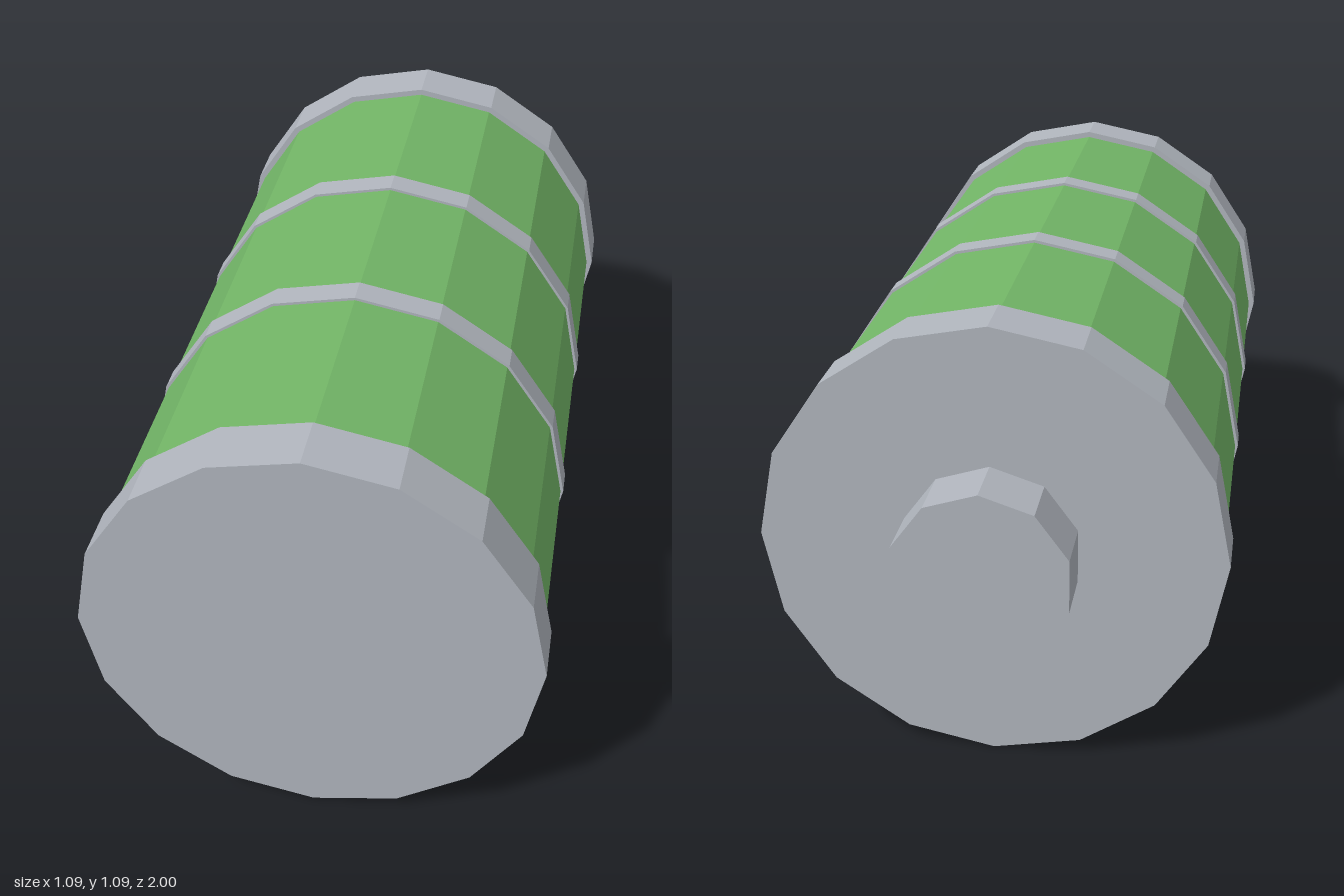
import * as THREE from 'three';

export function createModel() {
  const model = new THREE.Group();
  const metal = new THREE.MeshStandardMaterial({ color: 0xb0b5bd, flatShading: true });
  metal.name = 'grey metal';
  const green = new THREE.MeshStandardMaterial({ color: 0x72b566, flatShading: true });
  green.name = 'green casing';

  const axisY = 0.543;

  // Faceted disc lying along z, between two z positions
  function drum(name, radius, z0, z1, sides, material) {
    const geometry = new THREE.CylinderGeometry(radius, radius, z1 - z0, sides);
    geometry.rotateX(Math.PI / 2);
    const mesh = new THREE.Mesh(geometry, material);
    mesh.name = name;
    mesh.position.set(0, axisY, (z0 + z1) / 2);
    model.add(mesh);
  }

  // Casing
  drum('casing', 0.527, -0.73, 0.87, 16, green);

  // End caps
  drum('frontCap', 0.543, 0.863, 1, 16, metal);
  drum('backCap', 0.543, -0.86, -0.723, 16, metal);

  // Thin bands around the casing
  drum('frontBand', 0.534, 0.303, 0.37, 16, metal);
  drum('backBand', 0.534, -0.225, -0.158, 16, metal);

  // Terminal knob on the back
  drum('terminal', 0.21, -1, -0.855, 10, metal);

  return model;
}
